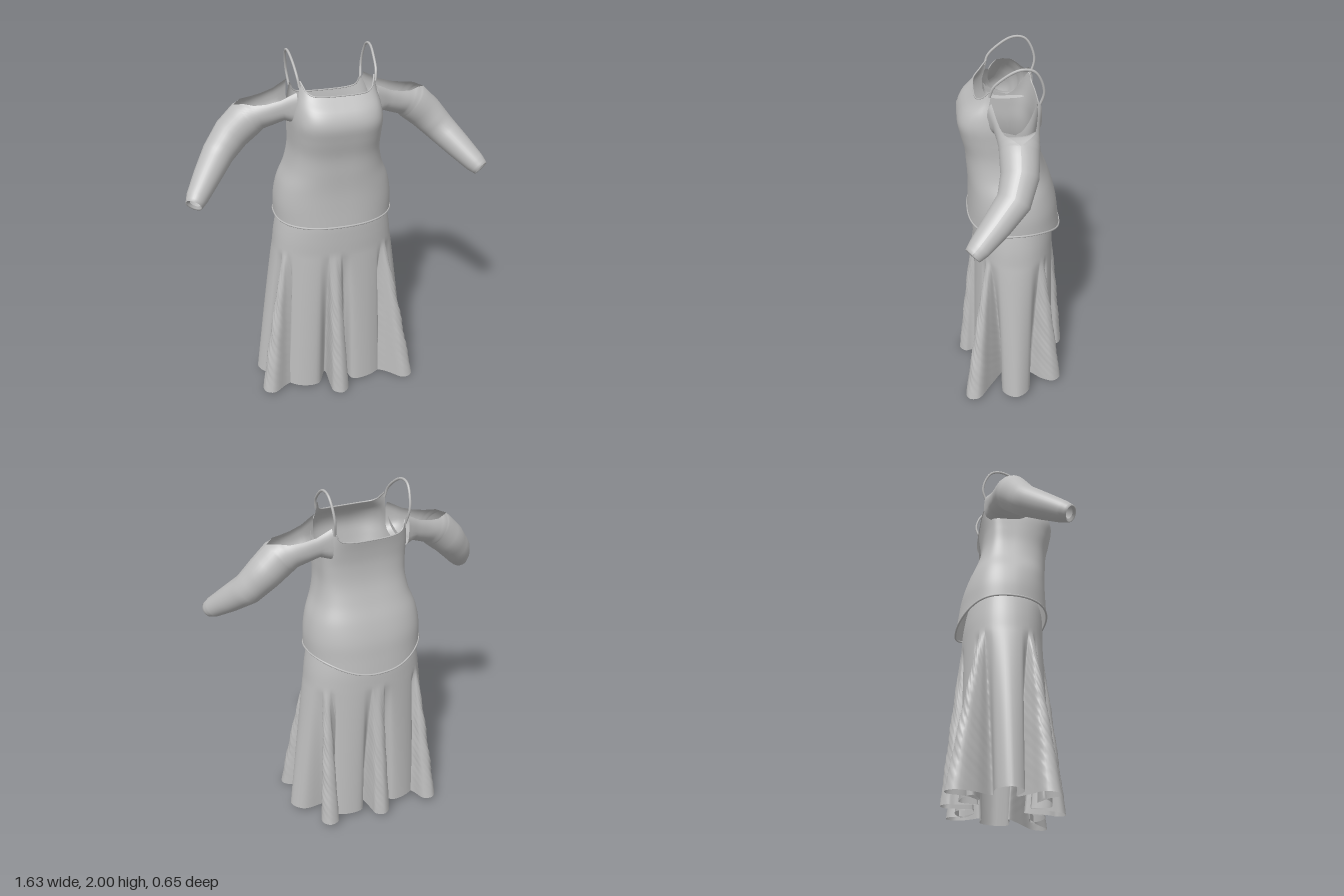
import * as THREE from 'three';

const cloth = new THREE.MeshStandardMaterial({ color: 0xbcbcbc, side: THREE.DoubleSide });
cloth.name = 'grey cloth';

// Surface from rows of points; fn(u, v) gives a Vector3.
function sheet(name, cols, rows, closed, fn) {
  const pos = [], index = [];
  const w = closed ? cols : cols + 1;
  for (let j = 0; j <= rows; j++)
    for (let i = 0; i < w; i++) pos.push(...fn(i / cols, j / rows).toArray());
  for (let j = 0; j < rows; j++)
    for (let i = 0; i < cols; i++) {
      const a = j * w + i, b = j * w + ((i + 1) % w), c = a + w, d = b + w;
      index.push(a, c, b, b, c, d);
    }
  const g = new THREE.BufferGeometry();
  g.setAttribute('position', new THREE.Float32BufferAttribute(pos, 3));
  g.setIndex(index);
  g.computeVertexNormals();
  return named(name, g);
}

function named(name, geometry) {
  const m = new THREE.Mesh(geometry, cloth);
  m.name = name;
  return m;
}

function cord(name, points, radius, closed = false) {
  const curve = new THREE.CatmullRomCurve3(points, closed);
  return named(name, new THREE.TubeGeometry(curve, points.length * 6, radius, 6, closed));
}

// Smooth lookup in a table of [key, ...values], keys rising.
function lookup(table, key, col = 1) {
  let k = 0;
  while (k < table.length - 2 && key > table[k + 1][0]) k++;
  const a = table[k], b = table[k + 1];
  const t = THREE.MathUtils.clamp((key - a[0]) / (b[0] - a[0]), 0, 1);
  const p = table[Math.max(k - 1, 0)], n = table[Math.min(k + 2, table.length - 1)];
  const h = b[0] - a[0];
  const m0 = (b[col] - p[col]) / (b[0] - p[0]) * h, m1 = (n[col] - a[col]) / (n[0] - a[0]) * h;
  const t2 = t * t, t3 = t2 * t;
  return (2 * t3 - 3 * t2 + 1) * a[col] + (t3 - 2 * t2 + t) * m0 + (3 * t2 - 2 * t3) * b[col] + (t3 - t2) * m1;
}

const spow = (v, p) => Math.sign(v) * Math.abs(v) ** p;

// Bodice profile: y, half width, front depth, back depth, squareness
const BODICE = [
  [1.0, 0.325, 0.25, 0.268, 0.85], [1.1, 0.328, 0.245, 0.255, 0.85], [1.2, 0.325, 0.24, 0.24, 0.82],
  [1.3, 0.304, 0.238, 0.21, 0.78], [1.4, 0.262, 0.243, 0.168, 0.72], [1.5, 0.24, 0.25, 0.135, 0.66],
  [1.6, 0.238, 0.272, 0.123, 0.6], [1.68, 0.238, 0.283, 0.128, 0.55], [1.75, 0.227, 0.255, 0.14, 0.52],
  [1.81, 0.214, 0.195, 0.15, 0.5], [1.89, 0.21, 0.145, 0.152, 0.5],
];
// Height of the upper edge against |sin| of the angle
const TOP_FRONT = [[0, 1.66], [0.3, 1.75], [0.55, 1.88], [0.7, 1.845], [0.88, 1.82], [1, 1.813]];
const TOP_BACK = [[0, 1.66], [0.3, 1.73], [0.55, 1.8], [0.8, 1.755], [1, 1.735]];

function bodicePoint(angle, v) {
  const s = Math.sin(angle), c = Math.cos(angle);
  const top = lookup(s >= 0 ? TOP_FRONT : TOP_BACK, Math.abs(s));
  const bottom = s >= 0 ? 1.105 - 0.01 * s : 1.105 - 0.09 * Math.abs(s) ** 3;
  const y = THREE.MathUtils.lerp(bottom, top, v);
  const p = lookup(BODICE, y, 4);
  return new THREE.Vector3(lookup(BODICE, y, 1) * spow(c, p), y,
    lookup(BODICE, y, s >= 0 ? 2 : 3) * spow(s, p));
}

function edge(from, to, v, n) {
  return Array.from({ length: n }, (_, i) => bodicePoint(from + (to - from) * i / (n - 1), v));
}

// Sleeve stations: centre x, y, z, radius up, radius across, opening half angle, squareness
const SLEEVE = [
  [0.212, 1.745, 0.0, 0.1, 0.135, 0.85, 0.6], [0.28, 1.735, -0.003, 0.08, 0.115, 1.0, 0.8],
  [0.345, 1.715, -0.003, 0.085, 0.105, 0.95, 0.9], [0.4, 1.7, -0.003, 0.09, 0.1, 0.8, 1],
  [0.432, 1.685, -0.002, 0.098, 0.098, 0.45, 1], [0.452, 1.674, 0.0, 0.1, 0.097, 0, 1],
  [0.535, 1.602, 0.006, 0.094, 0.092, 0, 1], [0.615, 1.515, 0.042, 0.082, 0.084, 0, 1],
  [0.69, 1.435, 0.13, 0.07, 0.071, 0, 1], [0.755, 1.365, 0.212, 0.056, 0.056, 0, 1],
  [0.778, 1.34, 0.245, 0.044, 0.044, 0, 1], [0.77, 1.348, 0.238, 0.028, 0.028, 0, 1],
];

function sleeve(name, side) {
  // The last station is the inner lip and shares the cuff's direction
  const last = SLEEVE.length - 1, cuff = last - 1;
  const at = k => new THREE.Vector3(...SLEEVE[THREE.MathUtils.clamp(k, 0, cuff)].slice(0, 3));
  const frames = SLEEVE.map((_, k) => {
    const c = Math.min(k, cuff);
    const dir = k === 0 ? new THREE.Vector3(1, 0, 0) : at(c + 1).sub(at(c - 1)).normalize();
    const across = new THREE.Vector3(0, 0, 1).addScaledVector(dir, -dir.z).normalize();
    return { up: across.clone().cross(dir), across };
  });
  const ring = (k, u) => {
    const [x, y, z, ry, rz, gap, p] = SLEEVE[k];
    const a = gap + u * (2 * Math.PI - 2 * gap);
    return new THREE.Vector3(x, y, z)
      .addScaledVector(frames[k].up, ry * spow(Math.cos(a), p))
      .addScaledVector(frames[k].across, rz * spow(Math.sin(a), p));
  };
  return sheet(name, 32, last * 3, false, (u, v) => {
    const f = v * last, k = Math.min(Math.floor(f), last - 1);
    const q = ring(k, u).lerp(ring(k + 1, u), f - k);
    q.x *= side;
    return q;
  });
}

// Skirt yoke profile: y, half width, front depth, back depth
const YOKE = [[0.9, 0.345, 0.218, 0.23], [1.0, 0.332, 0.22, 0.225], [1.1, 0.31, 0.217, 0.21], [1.16, 0.29, 0.2, 0.195]];
// Flared gores: angle at the top, hem tip x, z, depth of the valleys beside it
const GORES = [[0.72, 0.43, 0.285, 0.8], [1.66, -0.02, 0.328, 0.58], [2.62, -0.468, 0.2, 0.82],
  [3.8, -0.345, -0.315, 0.8], [4.71, -0.01, -0.322, 0.62], [5.62, 0.325, -0.27, 0.8]];

function yokePoint(a, y) {
  const s = Math.sin(a);
  return new THREE.Vector3(lookup(YOKE, y, 1) * spow(Math.cos(a), 0.9), y,
    lookup(YOKE, y, s >= 0 ? 2 : 3) * spow(s, 0.9));
}

function skirt() {
  const hem = [], angles = [];
  GORES.forEach(([a, x, z, depth], g) => {
    const root = new THREE.Vector2(0.345 * Math.cos(a), 0.22 * Math.sin(a));
    const tip = new THREE.Vector2(x, z), d = tip.clone().sub(root).normalize();
    const n = new THREE.Vector2(-d.y, d.x);
    // Folded gore: valley, flank, rounded tip, flank, valley
    const fold = [[depth, -0.065, -0.1], [0, -0.05, -0.07], [0, -0.048, -0.03], [0, 0, 0],
      [0, 0.048, 0.03], [0, 0.05, 0.07], [depth, 0.065, 0.1]];
    fold.forEach(([inner, off, da], i) => {
      const p = inner ? root.clone().multiplyScalar(inner)
        : i === 3 ? tip.clone()
        : i === 2 || i === 4 ? tip.clone().addScaledVector(d, -0.03)
        : root.clone().lerp(tip, 0.3);
      p.addScaledVector(n, off);
      hem.push(new THREE.Vector3(p.x, 0, p.y));
      angles.push(a + da);
    });
    // Smooth panel up to the next gore
    const next = g < 5 ? GORES[g + 1][0] : GORES[0][0] + 2 * Math.PI;
    for (const f of [0.25, 0.5, 0.75]) {
      const b = a + (next - a) * f, k = f === 0.5 ? 1 : 0.93;
      hem.push(new THREE.Vector3(0.47 * k * Math.cos(b), 0, 0.25 * k * Math.sin(b)));
      angles.push(b);
    }
  });
  angles.push(angles[0] + 2 * Math.PI);
  const curve = new THREE.CatmullRomCurve3(hem, true), count = hem.length;
  return sheet('skirt', count * 5, 56, true, (u, v) => {
    const f = u * count, k = Math.min(Math.floor(f), count - 1);
    const a = THREE.MathUtils.lerp(angles[k], angles[k + 1], f - k);
    if (v < 0.2) return yokePoint(a, 1.16 - v / 0.2 * 0.26);
    const t = (v - 0.2) / 0.8, low = curve.getPoint(u);
    low.y = 0.035 - 0.035 * Math.max(0, low.z / 0.328);
    const y = THREE.MathUtils.lerp(0.9, low.y, t);
    const p = yokePoint(a, 0.9).lerp(low, t ** 0.9).setY(y);
    // Crinkled cloth in the gores
    if (f % 10 < 6) {
      const r = 1 + 0.014 * Math.sin(t * 61 + f * 5.3) * Math.sin(f * 3.1 + t * 37) * Math.min(1, t * 3) * (1 - t ** 6);
      p.x *= r;
      p.z *= r;
    }
    return p;
  });
}

export function createModel() {
  const model = new THREE.Group();
  model.name = 'dress';
  model.add(sheet('bodice', 96, 36, true, (u, v) => bodicePoint(u * 2 * Math.PI, v)));
  model.add(cord('bodiceHem', edge(0, 2 * Math.PI * 47 / 48, 0, 48), 0.006, true));
  // Neckline bindings run between the straps
  model.add(cord('frontNeckBinding', edge(0.58, Math.PI - 0.58, 1, 16), 0.004));
  model.add(cord('backNeckBinding', edge(Math.PI + 0.58, 2 * Math.PI - 0.58, 1, 16), 0.004));
  for (const [label, side] of [['left', 1], ['right', -1]]) {
    model.add(sleeve(label + 'Sleeve', side));
    const path = [[0.198, 1.85, 0.122], [0.205, 1.9, 0.105], [0.211, 1.955, 0.045], [0.216, 1.988, -0.015],
      [0.217, 1.993, -0.06], [0.216, 1.98, -0.095], [0.212, 1.935, -0.126], [0.206, 1.865, -0.142], [0.197, 1.785, -0.118]];
    model.add(cord(label + 'Strap', path.map(([x, y, z]) => new THREE.Vector3(x * side, y, z)), 0.007));
  }
  model.add(skirt());
  return model;
}
